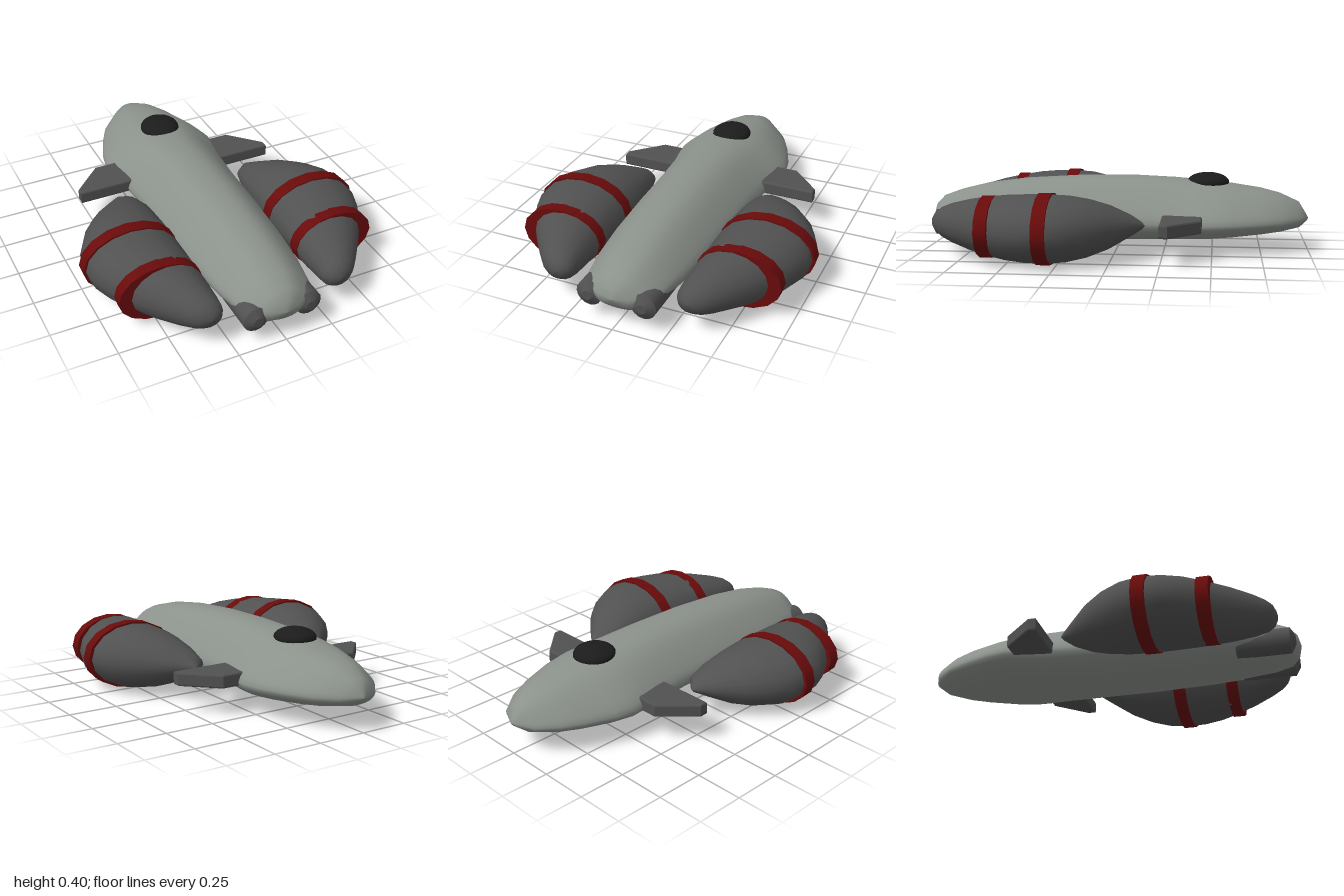
import * as THREE from 'three';

const paint = (name, color) => {
  const m = new THREE.MeshStandardMaterial({ color });
  m.name = name;
  return m;
};

// Skin a row of stations along z; ringAt(station) returns a loop of [x, y], counter-clockwise seen from +z.
function loft(stations, ringAt) {
  const pos = [], index = [];
  let n = 0;
  for (const s of stations) {
    const ring = ringAt(s);
    n = ring.length;
    for (const [x, y] of ring) pos.push(x, y, s[0]);
  }
  for (let i = 0; i < stations.length - 1; i++) {
    for (let j = 0; j < n; j++) {
      const a = i * n + j, b = i * n + (j + 1) % n;
      index.push(a, b, a + n, b, b + n, a + n);
    }
  }
  const g = new THREE.BufferGeometry();
  g.setAttribute('position', new THREE.Float32BufferAttribute(pos, 3));
  g.setIndex(index);
  g.computeVertexNormals();
  return g;
}

export function createModel() {
  const model = new THREE.Group();
  model.name = 'submersible';
  const hullGrey = paint('hullGrey', 0x8b918b);
  const podGrey = paint('podGrey', 0x515151);
  const bandRed = paint('bandRed', 0x690b0b);
  const glassBlack = paint('glassBlack', 0x1c1c1c);

  const add = (name, geometry, material, x = 0, y = 0, z = 0) => {
    const mesh = new THREE.Mesh(geometry, material);
    mesh.name = name;
    mesh.position.set(x, y, z);
    model.add(mesh);
    return mesh;
  };

  // Hull cross-section: narrow rounded back, wide low shoulders, shallow belly
  const half = [[0, -1], [0.36, -0.95], [0.7, -0.78], [0.94, -0.38], [1, 0], [0.91, 0.24], [0.7, 0.56], [0.5, 0.8], [0.27, 0.96]];
  const loop = [...half, [0, 1], ...half.slice(1).reverse().map(([x, y]) => [-x, y])];
  const section = new THREE.CatmullRomCurve3(loop.map(([x, y]) => new THREE.Vector3(x, y, 0)), true)
    .getPoints(36).slice(0, 36);

  // Hull stations: z, half width, top, bottom
  const hullMid = 0.17;
  const hull = [
    [-1, 0, 0.17, 0.17], [-0.99, 0.025, 0.19, 0.155], [-0.95, 0.11, 0.255, 0.125], [-0.85, 0.195, 0.3, 0.105],
    [-0.75, 0.245, 0.325, 0.092], [-0.6, 0.303, 0.347, 0.078], [-0.5, 0.323, 0.358, 0.07],
    [-0.4, 0.313, 0.367, 0.064], [-0.3, 0.293, 0.375, 0.06], [-0.1, 0.277, 0.384, 0.055],
    [0.2, 0.267, 0.381, 0.053], [0.5, 0.25, 0.362, 0.058], [0.7, 0.228, 0.335, 0.065],
    [0.85, 0.2, 0.298, 0.075], [0.94, 0.15, 0.265, 0.09], [0.98, 0.08, 0.225, 0.125], [0.995, 0, 0.17, 0.17],
  ];
  add('hull', loft(hull, ([, w, top, bottom]) => section.map((p) =>
    [p.x * w, hullMid + p.y * (p.y > 0 ? top - hullMid : hullMid - bottom)])), hullGrey);

  // Canopy bubble
  const canopy = add('canopy', new THREE.SphereGeometry(1, 24, 16), glassBlack, 0, 0.355, -0.475);
  canopy.scale.set(0.105, 0.05, 0.11);

  // Pod stations: z, inner x, outer x, half height
  const pod = [
    [-0.17, 0.385, 0.385, 0], [-0.155, 0.36, 0.405, 0.018], [-0.1, 0.3, 0.475, 0.053], [0, 0.277, 0.593, 0.107],
    [0.1, 0.27, 0.675, 0.142], [0.2, 0.265, 0.728, 0.162], [0.3, 0.263, 0.75, 0.168],
    [0.4, 0.262, 0.742, 0.167], [0.5, 0.262, 0.705, 0.16], [0.6, 0.262, 0.643, 0.146],
    [0.7, 0.262, 0.572, 0.127], [0.8, 0.264, 0.495, 0.1], [0.86, 0.268, 0.445, 0.076],
    [0.89, 0.285, 0.41, 0.053], [0.905, 0.315, 0.37, 0.025], [0.91, 0.343, 0.343, 0],
  ];
  // Bands: z centre, inner x, outer x, half height, width
  const bands = [[0.305, 0.258, 0.76, 0.175, 0.066], [0.594, 0.256, 0.69, 0.152, 0.062]];

  for (const [side, label] of [[1, 'left'], [-1, 'right']]) {
    add(label + 'Pod', loft(pod, ([, inner, outer, h]) => Array.from({ length: 16 }, (_, i) => {
      const a = i / 16 * Math.PI * 2;
      return [side * (inner + outer) / 2 + Math.cos(a) * (outer - inner) / 2, 0.18 + Math.sin(a) * h];
    })), podGrey);

    bands.forEach(([z, inner, outer, h, width], i) => {
      const g = new THREE.CylinderGeometry(1, 1, width, 16).rotateX(Math.PI / 2);
      g.scale((outer - inner) / 2, h, 1);
      add(label + 'PodBand' + (i + 1), g, bandRed, side * (inner + outer) / 2, 0.18, z);
    });

    // Swept side fin
    const outline = [[0.24, -0.44], [0.4, -0.44], [0.55, -0.285], [0.55, -0.255], [0.24, -0.255]];
    const shape = new THREE.Shape(outline.map(([x, z]) => new THREE.Vector2(side * x, z)));
    const fin = new THREE.ExtrudeGeometry(shape, {
      depth: 0.05, bevelEnabled: true, bevelSize: 0.009, bevelThickness: 0.009, bevelSegments: 2,
    }).rotateX(Math.PI / 2);
    add(label + 'Fin', fin, podGrey, 0, 0.205, 0);

    // Tube under the front end, with a shallow conical cap
    const tube = new THREE.CylinderGeometry(0.066, 0.066, 0.27, 16).rotateX(Math.PI / 2);
    add(label + 'Tube', tube, podGrey, side * 0.14, 0.142, 0.815);
    const cap = new THREE.CylinderGeometry(0.025, 0.066, 0.025, 16).rotateX(Math.PI / 2);
    add(label + 'TubeCap', cap, podGrey, side * 0.14, 0.142, 0.9625);
  }
  return model;
}
